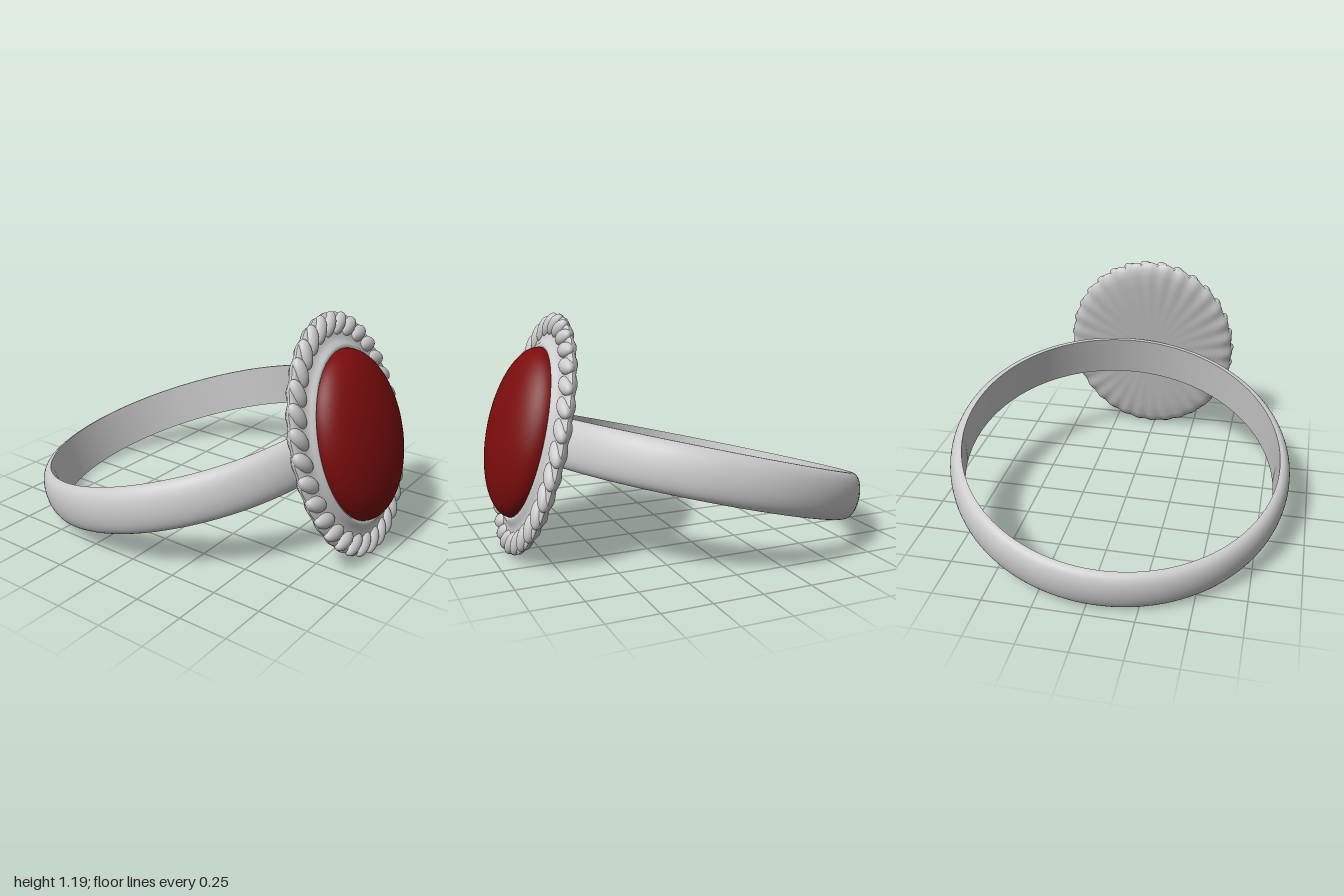
import * as THREE from 'three';
import { toCreasedNormals } from 'three/addons/utils/BufferGeometryUtils.js';

const BEADS = 32;
const silver = new THREE.MeshStandardMaterial({ color: 0xcccccc });
const red = new THREE.MeshStandardMaterial({ color: 0x7a0c0c });

function lathe(points, segments) {
  return new THREE.LatheGeometry(points.map(([r, y]) => new THREE.Vector2(r, y)), segments);
}

function addMesh(parent, name, geometry, material = silver) {
  const mesh = new THREE.Mesh(geometry, material);
  mesh.name = name;
  parent.add(mesh);
  return mesh;
}

// Finger band: flat inside, rounded outside
function bandGeometry() {
  const inner = 0.83, half = 0.122, bulge = 0.067;
  const profile = [];
  for (let i = 0; i <= 20; i++) {
    const a = -Math.PI / 2 + (Math.PI * i) / 20;
    profile.push([inner + bulge * Math.pow(Math.cos(a) + 1e-9, 0.85), half * Math.sin(a)]);
  }
  profile.push([inner, -half]);
  return toCreasedNormals(lathe(profile, 128), 0.8);
}

// Oval setting: lathe stretched to an ellipse, with a softly fluted back and rim
function settingGeometry(a, b) {
  const profile = [
    [0, -0.045], [0.3, -0.045], [0.55, -0.045], [0.75, -0.044], [0.88, -0.04], [0.95, -0.031],
    [0.985, -0.015], [0.99, 0], [0.97, 0.012], [0.92, 0.017], [0.84, 0.018], [0.79, 0.023],
    [0.755, 0.034], [0.735, 0.046], [0.715, 0.05], [0.7, 0.046], [0.69, 0.035], [0, 0.035],
  ];
  const geo = lathe(profile, BEADS * 8).rotateX(Math.PI / 2);
  const p = geo.attributes.position;
  for (let i = 0; i < p.count; i++) {
    const x = p.getX(i), y = p.getY(i), z = p.getZ(i);
    const r = Math.hypot(x, y);
    const wave = Math.cos(BEADS * Math.atan2(y, x) - Math.PI) * Math.pow(r, 4);
    const grow = 1 + (r > 0.9 ? 0.008 * wave : 0);
    p.setXYZ(i, x * a * grow, y * b * grow, z < -0.02 ? z - 0.004 * wave : z);
  }
  return toCreasedNormals(geo, 0.8);
}

// Rope border: slanted oval beads around the rim
function addRope(parent, a, b) {
  const rope = new THREE.Group();
  rope.name = 'ropeBorder';
  const beadGeometry = new THREE.SphereGeometry(1, 24, 16).scale(0.074, 0.039, 0.034);
  for (let i = 0; i < BEADS; i++) {
    const t = ((i + 0.5) / BEADS) * Math.PI * 2;
    const bead = addMesh(rope, 'ropeBead', beadGeometry);
    bead.position.set(a * Math.cos(t), b * Math.sin(t), 0.008);
    bead.rotation.z = Math.atan2(Math.sin(t) / b, Math.cos(t) / a) - 0.78;
  }
  parent.add(rope);
}

export function createModel() {
  const model = new THREE.Group();
  model.name = 'ring';

  // The whole ring rests tilted back and rolled slightly to one side
  const tilted = new THREE.Group();
  tilted.name = 'tiltedRing';
  tilted.rotation.set(-0.262, 0, 0.1);
  tilted.position.set(0, 0.355, -0.135);
  model.add(tilted);

  addMesh(tilted, 'band', bandGeometry());

  const head = new THREE.Group();
  head.name = 'head';
  head.position.set(0, 0.01, 0.928);
  tilted.add(head);
  addMesh(head, 'setting', settingGeometry(0.49, 0.612));
  addRope(head, 0.435, 0.551);

  // Domed oval stone
  const dome = new THREE.SphereGeometry(1, 64, 24, 0, Math.PI * 2, 0, Math.PI / 2);
  const stone = addMesh(head, 'stone', dome.rotateX(Math.PI / 2).scale(0.342, 0.43, 0.172), red);
  stone.position.z = 0.042;

  return model;
}
